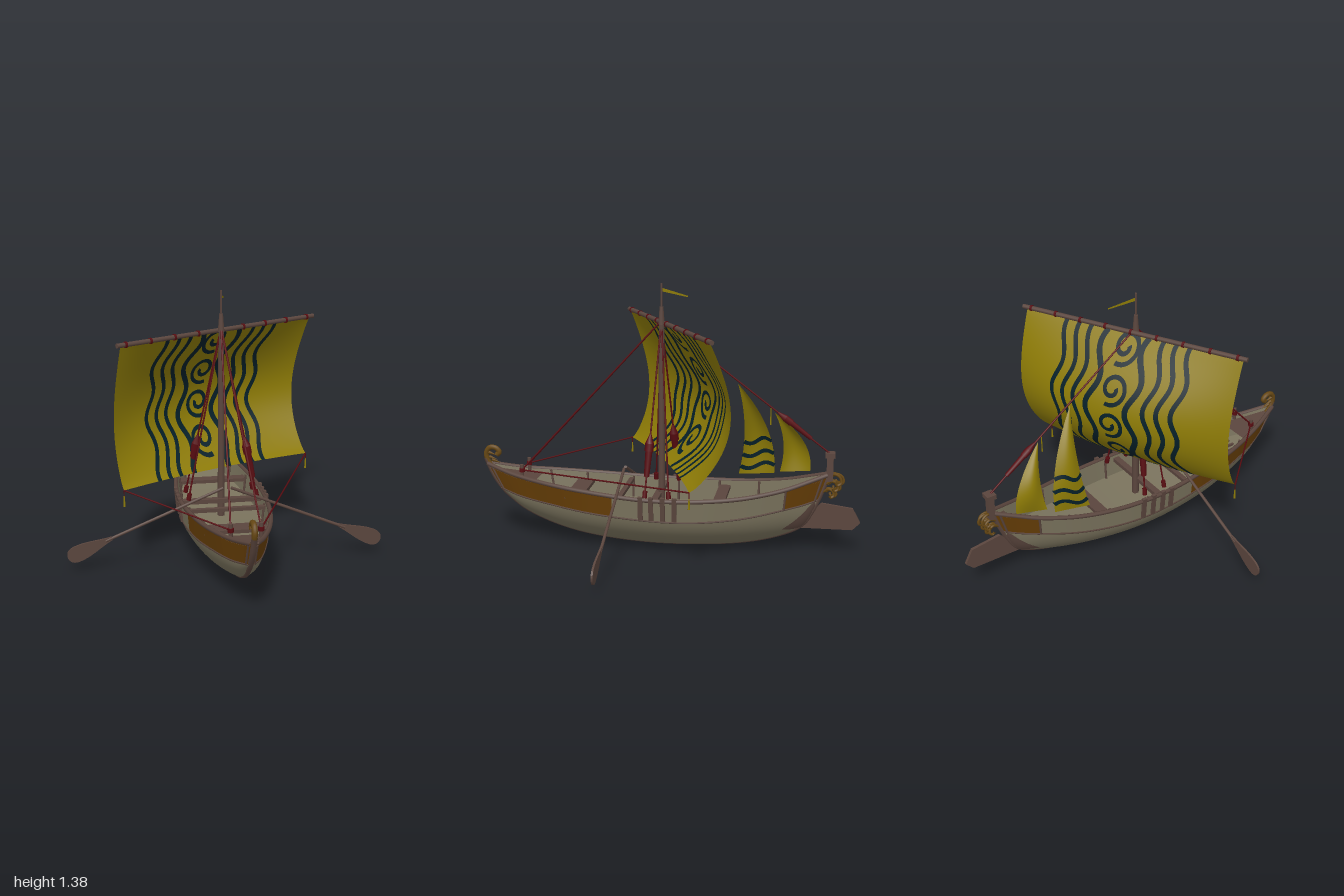
import * as THREE from 'three';

const V = (x, y, z) => new THREE.Vector3(x, y, z);
const D = THREE.DoubleSide;
const mat = (name, color, side = THREE.FrontSide) => Object.assign(new THREE.MeshStandardMaterial({ color, side }), { name });

export function createModel() {
  const root = new THREE.Group();
  root.name = 'sailingBoat';
  const wood = mat('wood', 0x5a453d, D);
  const beige = mat('paleHull', 0x7a735d, D);
  const brown = mat('brownPlanking', 0x653d06, D);
  const yellow = mat('sailYellow', 0x8c7a06, D);
  const teal = mat('patternTeal', 0x051f28, D);
  const red = mat('ropeRed', 0x580c11);
  const gold = mat('carvedGold', 0x664713);

  const add = (name, geo, material) => {
    const m = new THREE.Mesh(geo, material);
    m.name = name;
    root.add(m);
    return m;
  };
  const box = (name, w, h, d, x, y, z) => {
    const b = add(name, new THREE.BoxGeometry(w, h, d), wood);
    b.position.set(x, y, z);
    return b;
  };
  // cylinder between two points
  const rod = (name, a, b, r, m, r2 = r, sides = 8) => {
    const d = b.clone().sub(a);
    const c = add(name, new THREE.CylinderGeometry(r2, r, d.length(), sides), m);
    c.position.copy(a).add(b).multiplyScalar(0.5);
    c.quaternion.setFromUnitVectors(V(0, 1, 0), d.normalize());
    return c;
  };
  const tube = (name, pts, r, m, n = 40, sides = 6) =>
    add(name, new THREE.TubeGeometry(new THREE.CatmullRomCurve3(pts), n, r, sides), m);
  // grid surface from f(u, v)
  const surface = (f, nu, nv) => {
    const pos = [], idx = [];
    for (let i = 0; i <= nu; i++) for (let j = 0; j <= nv; j++) {
      pos.push(...f(i / nu, j / nv).toArray());
      if (i < nu && j < nv) {
        const a = i * (nv + 1) + j, b = a + nv + 1;
        idx.push(a, b, a + 1, b, b + 1, a + 1);
      }
    }
    const g = new THREE.BufferGeometry();
    g.setAttribute('position', new THREE.Float32BufferAttribute(pos, 3));
    g.setIndex(idx);
    g.computeVertexNormals();
    return g;
  };

  // Hull lines, bow to stern
  const curve = pts => new THREE.CatmullRomCurve3(pts.map(p => V(...p)));
  const sheer = curve([[.012, .4, .975], [.075, .365, .82], [.143, .34, .62], [.19, .32, .4], [.222, .3, .1],
    [.216, .3, -.15], [.172, .315, -.4], [.105, .35, -.61], [.056, .385, -.73], [.016, .415, -.825]]);
  const chine = curve([[.012, .27, .905], [.07, .245, .78], [.128, .225, .6], [.177, .205, .4], [.212, .188, .1],
    [.205, .185, -.15], [.16, .205, -.4], [.096, .24, -.6], [.045, .26, -.71], [.012, .28, -.78]]);
  const keel = curve([[.004, .25, .89], [.004, .16, .78], [.004, .08, .6], [.004, .032, .4], [.004, .004, .1],
    [.004, .007, -.15], [.004, .03, -.4], [.004, .08, -.6], [.004, .14, -.71], [.004, .265, -.78]]);
  const mirror = (p, s) => (p.x *= s, p);
  const bottom = (t, v) => {
    const c = chine.getPoint(t), k = keel.getPoint(t);
    const m = V(c.x * .85, k.y + (c.y - k.y) * .32, (c.z + k.z) / 2);
    return c.multiplyScalar((1 - v) ** 2).addScaledVector(m, 2 * v * (1 - v)).addScaledVector(k, v * v);
  };
  const inset = (p, d) => (p.x = Math.max(0, p.x - d), p);
  for (const s of [-1, 1]) {
    const side = s > 0 ? 'left' : 'right';
    add(side + 'HullBottom', surface((u, v) => mirror(bottom(u, v), s), 50, 12), beige);
    for (const [n, t0, t1, m] of [['BowPlanking', 0, .385, brown], ['MidPlanking', .385, .787, beige], ['SternPlanking', .787, 1, brown]])
      add(side + n, surface((u, v) => {
        const t = t0 + (t1 - t0) * u;
        return mirror(sheer.getPoint(t).lerp(chine.getPoint(t), v), s);
      }, 24, 2), m);
    add(side + 'Lining', surface((u, v) => mirror(inset(sheer.getPoint(u).lerp(chine.getPoint(u), v), .012), s), 50, 2), beige);
    add(side + 'Deck', surface((u, v) => mirror(chine.getPoint(u), s * v), 50, 1), beige);
    // wooden cheek where the rudder meets the hull
    add(side + 'RudderCheek', surface((u, v) => {
      const p = bottom(.78 + .2 * u, THREE.MathUtils.lerp(.62 * (1 - u), Math.min(1, .64 + .7 * u), v));
      p.x += .005;
      return mirror(p, s);
    }, 14, 6), wood);
    const line = (c, n = 30) => Array.from({ length: n + 1 }, (_, i) => mirror(c.getPoint(i / n), s));
    tube(side + 'Gunwale', line(sheer), .012, wood, 60);
    tube(side + 'RubbingStrake', line(chine), .005, wood, 60, 5);
    // framing ribs at the ends of the painted panels
    for (const t of [.015, .787, .975])
      rod(side + 'PanelRib', mirror(sheer.getPoint(t), s), mirror(chine.getPoint(t), s), .006, wood);
    // outer chain plates
    for (const z of [.11, .055, -.005, -.065])
      box(side + 'ChainPlate', .016, .125, .024, s * .222, .255, z).rotation.z = -s * .1;
    // interior frames along the lining
    for (const t of [.2, .3, .4, .5, .6, .7])
      rod(side + 'Frame', mirror(inset(sheer.getPoint(t), .02), s), mirror(inset(chine.getPoint(t), .02), s), .006, wood);
  }

  // Keel, stem and stern post
  const keelPts = [V(0, .43, .985), V(0, .34, .945)];
  for (let i = 0; i <= 18; i++) keelPts.push(keel.getPoint(i / 18).setX(0).add(V(0, .011, 0)));
  keelPts.push(V(0, .42, -.835));
  tube('keel', keelPts, .015, wood, 90);
  box('sternPost', .032, .15, .034, 0, .455, -.838);
  box('sternPostHead', .055, .025, .05, 0, .52, -.838);

  // Thwarts, beams, floor planks and end decks
  const deckPiece = (name, z0, z1, y) => add(name, surface((u, v) => {
    const z = z0 + (z1 - z0) * u;
    let t = 0;
    while (t < 1 && sheer.getPoint(t).z > z) t += .004;
    const p = sheer.getPoint(Math.min(t, 1));
    return V((v * 2 - 1) * p.x * .97, p.y + y, z);
  }, 8, 2), wood);
  deckPiece('foreDeck', .96, .7, -.015);
  deckPiece('aftDeck', -.81, -.75, -.02);
  box('foreThwart', .32, .018, .09, 0, .28, .475);
  box('aftThwart', .36, .018, .06, 0, .275, -.28);
  box('mastBeam', .42, .022, .035, 0, .275, .05);
  box('oarBeam', .4, .018, .025, 0, .29, .23);
  for (const x of [-.04, 0, .04]) box('floorPlank', .012, .012, .2, x, .24, .61);

  // Rudder blade
  const rs = new THREE.Shape([[-.6, .125], [-.96, .125], [-1, .165], [-.96, .24], [-.8, .262], [-.74, .2]].map(p => new THREE.Vector2(-p[0], p[1])));
  const rudder = add('rudder', new THREE.ExtrudeGeometry(rs, { depth: .016, bevelEnabled: false }), wood);
  rudder.rotation.y = Math.PI / 2;
  rudder.position.x = -.008;

  // Oars
  for (const s of [-1, 1]) {
    rod('oarShaft', V(s * .02, .405, .232), V(s * .62, .155, .232), .008, wood);
    const sh = new THREE.Shape();
    sh.moveTo(0, .008);
    sh.bezierCurveTo(.08, .02, .13, .045, .2, .042);
    sh.bezierCurveTo(.26, .04, .26, -.04, .2, -.042);
    sh.bezierCurveTo(.13, -.045, .08, -.02, 0, -.008);
    const blade = add('oarBlade', new THREE.ExtrudeGeometry(sh, { depth: .01, bevelEnabled: false }), wood);
    blade.position.set(s * .585, .17, s > 0 ? .227 : .237);
    blade.rotation.set(0, s > 0 ? 0 : Math.PI, -.4);
  }

  // Mast, yard and pennant
  rod('mast', V(0, .1, .035), V(0, 1.2, .035), .019, wood, .014, 12);
  rod('mastHead', V(0, 1.17, .035), V(0, 1.26, .035), .017, wood, .01, 12);
  rod('topPole', V(0, 1.25, .035), V(0, 1.38, .035), .005, wood);
  const ya = V(-.545, 1.172, .305), yb = V(.55, 1.172, -.29);
  rod('yard', ya, yb, .012, wood, .012, 12);
  for (let i = 0; i <= 8; i++) {
    const p = ya.clone().lerp(yb, .04 + i * .115), d = yb.clone().sub(ya).normalize().multiplyScalar(.006);
    rod('yardLashing', p.clone().sub(d), p.clone().add(d), .016, red);
  }
  add('pennant', surface((u, v) => V(.035 * u, 1.356 - .033 * u - v * .018 * (1 - u * .6), .03 - .135 * u), 6, 1), yellow);

  // Main sail and its painted pattern
  const n = V(-.35, 0, -.94);
  const sail = (s, v, off = 0) => {
    const top = V(.527 * s, 1.165, .008 - .287 * s);
    const low = V(-.0125 + .5125 * s, .4375 - .0025 * s, .055 - .235 * s);
    const full = Math.max(0, Math.sin(Math.PI * v ** 1.25)) ** .75;
    const belly = (.128 + .028 * s) * full + .115 * (1 - s * s) * Math.sin(Math.PI * v * .88);
    return top.lerp(low, v).addScaledVector(n, belly + off);
  };
  add('mainSail', surface((u, v) => sail(u * 2 - 1, v), 48, 48), yellow);
  // painted ribbon following a 2D path on a surface, on both faces
  const ribbon = (name, f, path, w, su, sv, steps, offset = .003) => {
    for (const off of [-offset, offset])
      add(name, surface((u, v) => {
        const [a, b] = path(u), [c, d] = path(u + .001);
        const dx = (c - a) * su, dy = (d - b) * sv, k = (v - .5) * w / Math.hypot(dx, dy);
        return f(a - dy * k / su, THREE.MathUtils.clamp(b + dx * k / sv, 0, 1), off);
      }, steps, 2), teal);
  };
  const wave = (x, amp, cycles, phase) => u => [x + amp * Math.sin(u * cycles * 2 * Math.PI + phase), u];
  for (const s of [-1, 1]) for (const x of [.335, .45, .57])
    ribbon('waveStripe', sail, wave(s * x, .036, 2.6, 1), .024, .59, .74, 70);
  for (const s of [-1, 1])
    ribbon('centreStripe', sail, wave(s * .19, .045, 2.6, .4), .03, .59, .74, 70);
  for (const v of [.07, .32, .57, .82])
    ribbon('spiral', sail, u => {
      const a = 1.2 + u * 8.5, r = .08 - .062 * u;
      return [r * Math.cos(a) / .59, v + r * Math.sin(a) / .74];
    }, .021, .59, .74, 50);

  // Two small triangular sails on the stay
  const jib = (A, B, C) => (q, p, off = 0) => A.clone().lerp(B.clone().lerp(C, q), p)
    .add(V(-.05 * Math.sin(Math.PI * p) * Math.sin(Math.PI * (.15 + .7 * q)) + off, 0, -(.12 + .1 * q) * p * (1 - p)));
  const jibA = jib(V(0, .875, -.36), V(-.155, .355, -.355), V(-.13, .375, -.545));
  const jibB = jib(V(0, .73, -.55), V(-.105, .39, -.575), V(-.075, .41, -.735));
  add('largeStaysail', surface(jibA, 14, 20), yellow);
  add('smallStaysail', surface(jibB, 14, 20), yellow);
  for (const p of [.64, .78, .91])
    ribbon('staysailStripe', jibA, u => [u, p + .03 * Math.sin(u * 6.28)], .022, .18, .53, 24);

  // Rigging
  const head = V(0, 1.19, .035);
  const lozenge = (a, b, t0, t1, r) => {
    const p = a.clone().lerp(b, t0), q = a.clone().lerp(b, t1), m = p.clone().lerp(q, .22), m2 = p.clone().lerp(q, .4);
    rod('ropeBlock', p, m, .005, red, r);
    rod('ropeBlock', m, m2, r, red, r);
    rod('ropeBlock', m2, q, r * .8, red, r * .6);
  };
  const stayEnd = V(0, .525, -.838);
  rod('stay', head, stayEnd, .0045, red);
  lozenge(head, stayEnd, .69, .885, .018);
  for (const s of [-1, 1]) {
    for (const z of [.095, -.03]) {
      const foot = V(s * .18, .3, z);
      rod('shroud', head, foot, .0045, red);
      rod('shroudWrap', foot, foot.clone().lerp(head, .04), .012, red);
      if (z * s > 0) lozenge(head, foot, .64, .88, .023);
    }
    const cleat = V(s * .072, .39, .77);
    rod('backStay', head, cleat, .0045, red);
    rod('cleatPost', V(s * .072, .35, .77), V(s * .072, .42, .77), .01, wood);
    rod('cleatWrap', V(s * .072, .38, .77), V(s * .072, .4, .77), .015, red);
    const corner = sail(s, 1);
    rod('sheetRope', corner, cleat, .004, red);
    rod('tassel', corner, corner.clone().add(V(0, -.035, 0)), .002, red);
    rod('tassel', corner.clone().add(V(0, -.085, 0)), corner.clone().add(V(0, -.03, 0)), .006, yellow, .003);
  }
  rod('stayTassel', V(0, .665, -.53), V(0, .755, -.53), .004, yellow, .002);

  // Carved bow curl and stern scrolls
  tube('bowCurl', [[.94, .36], [.975, .41], [.986, .455], [.965, .486], [.93, .483], [.914, .462], [.928, .448]]
    .map(([z, y]) => V(0, y, z)), .014, gold, 36, 8);
  for (const [z, y] of [[.95, .43], [.955, .455], [.935, .415]])
    rod('bowLeaf', V(0, y + .005, z + .02), V(0, y - .01, z - .025), .01, gold, .001);
  for (const s of [-1, 0, 1]) for (const [y, k] of [[.4, 1], [.365, .9], [.325, .75]])
    tube('sternScroll', [[0, 0], [-.035, .02], [-.065, .005], [-.07, -.025], [-.05, -.035], [-.042, -.015]]
      .map(([z, h], i) => V(s * (.006 + i * .004), y + h * k, -.838 + z * k + (s ? .012 : 0) + (.4 - y) * .25)), .007, gold, 20);

  return root;
}
